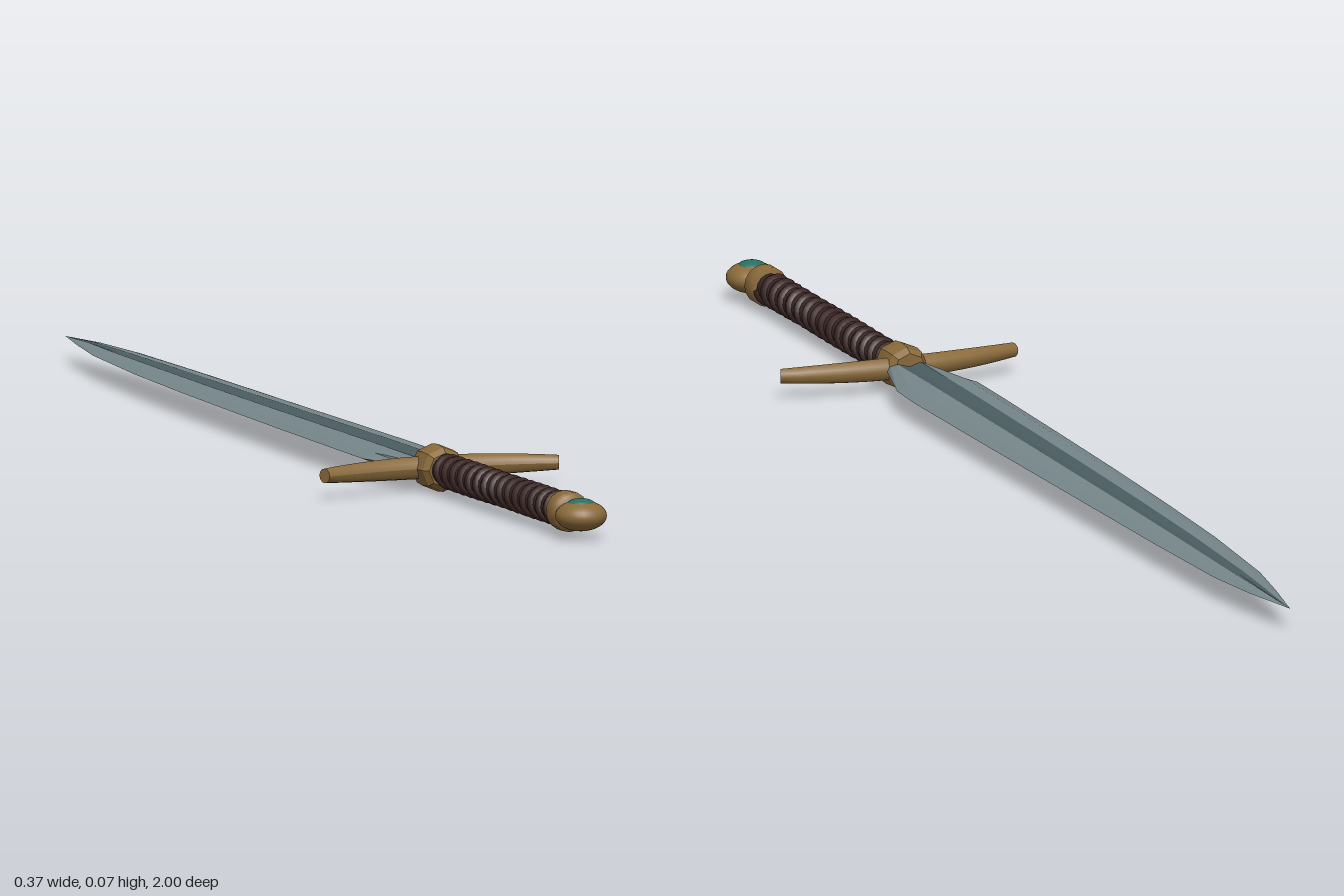
import * as THREE from 'three';

const Y = 0.034; // height of the sword's long axis
const mat = (color, flatShading = false) => new THREE.MeshStandardMaterial({ color, flatShading });

// Turned part along +z: points are [radius, z]
function turned(points, segments, squash = 1) {
  const g = new THREE.LatheGeometry(points.map(([r, z]) => new THREE.Vector2(r, z)), segments);
  g.rotateX(Math.PI / 2);
  g.scale(1, squash, 1);
  return g;
}

// Blade stations: z, left edge, right edge, fuller left, fuller right, half thickness
const stations = [
  [0.42, -0.028, 0.030, -0.017, 0.018, 0.011],
  [0.31, -0.063, 0.062, -0.016, 0.019, 0.011],
  [0.24, -0.062, 0.066, -0.015, 0.020, 0.011],
  [0.00, -0.056, 0.066, -0.011, 0.022, 0.010],
  [-0.20, -0.050, 0.065, -0.007, 0.024, 0.009],
  [-0.40, -0.042, 0.064, -0.002, 0.026, 0.008],
  [-0.60, -0.031, 0.063, 0.005, 0.029, 0.007],
  [-0.80, -0.012, 0.059, 0.015, 0.032, 0.005],
  [-0.90, 0.007, 0.048, 0.023, 0.032, 0.004],
  [-1.00, 0.029, 0.029, 0.029, 0.029, 0],
];

// Upper half of the cross-section from the left edge to the right edge
function section([z, l, r, fl, fr, h]) {
  const mix = THREE.MathUtils.lerp;
  return [
    [l, 0], [mix(l, fl, 0.4), h * 0.65], [fl, h],
    [mix(fl, fr, 0.5), h * 0.55],
    [fr, h], [mix(r, fr, 0.4), h * 0.65], [r, 0],
  ].map(([x, y]) => [x, y, z]);
}

// Lofts the chosen bands of the cross-section on both faces of the blade
function bladeBands(bands) {
  const pos = [];
  for (const side of [1, -1]) {
    for (let s = 0; s < stations.length - 1; s++) {
      const p = section(stations[s]), q = section(stations[s + 1]);
      for (const i of bands) {
        let tris = [p[i], p[i + 1], q[i + 1], p[i], q[i + 1], q[i]];
        if (side < 0) tris.reverse();
        for (const [x, y, z] of tris) pos.push(x, y * side, z);
      }
    }
  }
  const g = new THREE.BufferGeometry();
  g.setAttribute('position', new THREE.Float32BufferAttribute(pos, 3));
  g.computeVertexNormals();
  return g;
}

// Tapered crossbar whose ends sweep back towards the grip
function guardGeometry() {
  const g = new THREE.CylinderGeometry(1, 1, 0.36, 12, 20);
  g.rotateZ(Math.PI / 2);
  const p = g.attributes.position;
  for (let i = 0; i < p.count; i++) {
    const t = Math.abs(p.getX(i)) / 0.18;
    const sy = 0.0165 - 0.006 * t * t, sz = 0.0155 - 0.006 * t;
    const x = p.getX(i) - Math.sign(p.getX(i)) * p.getZ(i) * 0.004 * t;
    p.setXYZ(i, x, p.getY(i) * sy, p.getZ(i) * sz + 0.426 + 0.026 * t * t);
  }
  g.computeVertexNormals();
  return g;
}

// Helical leather cord around the grip
function cordGeometry() {
  const turns = 15, steps = turns * 12, pts = [];
  for (let i = 0; i <= steps; i++) {
    const a = (i / 12) * Math.PI * 2;
    pts.push(new THREE.Vector3(Math.cos(a) * 0.0165, Math.sin(a) * 0.0165, 0.47 + (0.43 * i) / steps));
  }
  return new THREE.TubeGeometry(new THREE.CatmullRomCurve3(pts), turns * 20, 0.0095, 7);
}

export function createModel() {
  const sword = new THREE.Group();
  sword.name = 'sword';
  const add = (name, geometry, material) => {
    const m = new THREE.Mesh(geometry, material);
    m.name = name;
    m.position.y = Y;
    sword.add(m);
    return m;
  };
  const bronze = mat(0x8a6a3a), facetedBronze = mat(0x8a6a3a, true), leather = mat(0x3a2624);

  // Blade
  add('blade', bladeBands([0, 1, 4, 5]), mat(0x76868a, true));
  add('fuller', bladeBands([2, 3]), mat(0x4b5d61, true));

  // Guard and its central block
  add('crossGuard', guardGeometry(), bronze);
  add('guardBlock', turned([
    [0, 0.405], [0.025, 0.405], [0.032, 0.415], [0.034, 0.436], [0.032, 0.457], [0.025, 0.466], [0, 0.466],
  ], 8), facetedBronze);

  // Grip
  add('gripCore', turned([[0, 0.45], [0.021, 0.45], [0.021, 0.915], [0, 0.915]], 16), leather);
  add('gripCord', cordGeometry(), leather);

  // Collar, pommel and its jewel on the upper face
  add('pommelCollar', turned([
    [0, 0.898], [0.024, 0.898], [0.029, 0.903], [0.029, 0.923], [0.024, 0.929], [0.015, 0.935], [0, 0.935],
  ], 16), bronze);
  const pommel = add('pommel', new THREE.SphereGeometry(1, 24, 16), bronze);
  pommel.scale.set(0.037, 0.022, 0.037);
  pommel.position.z = 0.963;
  const jewel = add('pommelJewel', new THREE.SphereGeometry(1, 20, 12), mat(0x2a6f60));
  jewel.scale.set(0.02, 0.008, 0.02);
  jewel.position.set(0, Y + 0.0165, 0.963);

  return sword;
}
